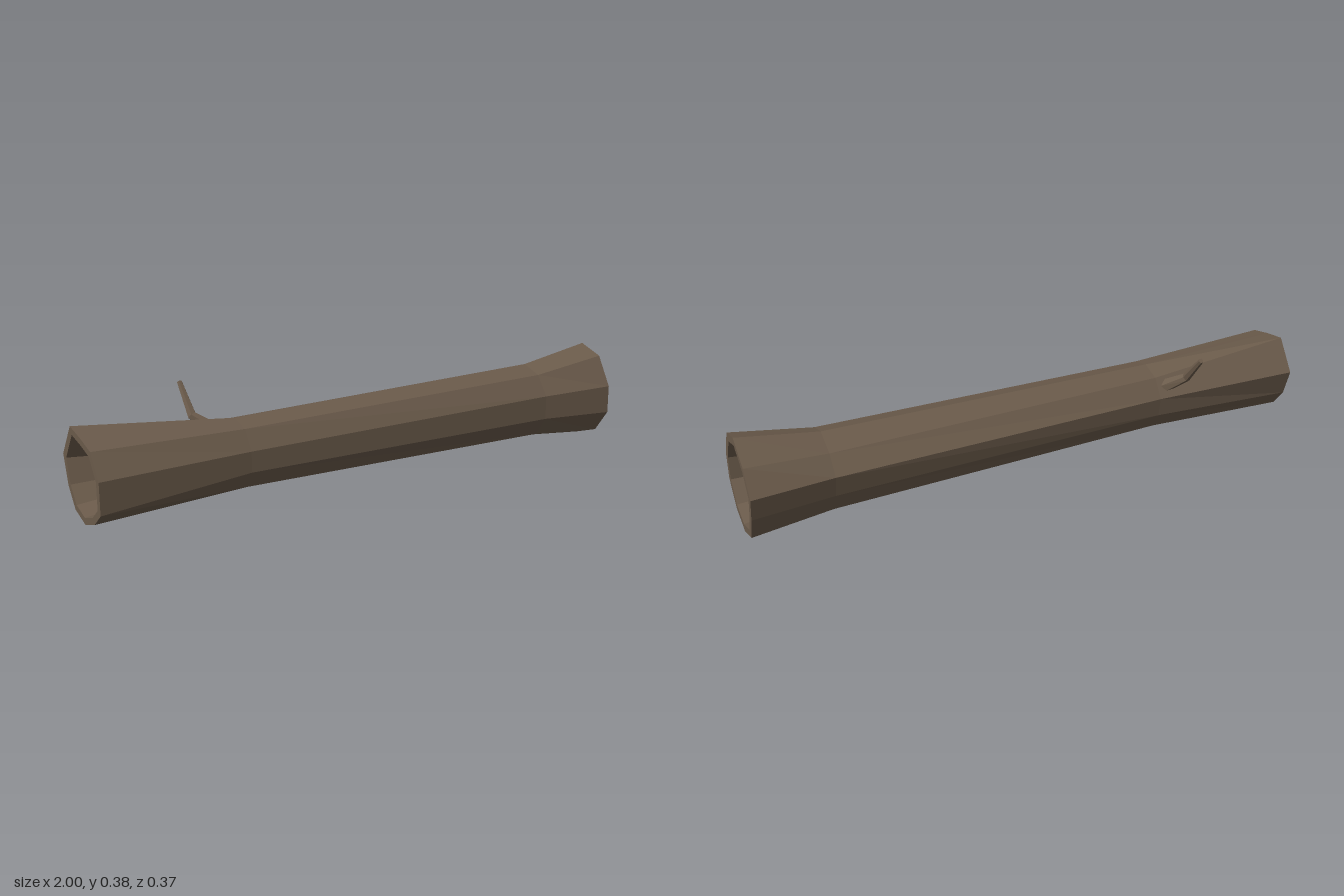
import * as THREE from 'three';

const bark = new THREE.MeshStandardMaterial({ color: 0x6b5b4b, flatShading: true });
const wood = new THREE.MeshStandardMaterial({ color: 0x987a5c, flatShading: true });

// Joins a row of rings (arrays of Vector3, counter-clockwise seen from the far end)
function loft(rings) {
  const pos = [];
  const put = (...pts) => pts.forEach(p => pos.push(p.x, p.y, p.z));
  for (let r = 0; r < rings.length - 1; r++) {
    const a = rings[r], b = rings[r + 1];
    for (let i = 0; i < a.length; i++) {
      const j = (i + 1) % a.length;
      put(a[i], a[j], b[j], a[i], b[j], b[i]);
    }
  }
  return geometryFrom(pos);
}

// Flat disc closing a ring; flip turns it to face the other way
function disc(ring, flip) {
  const pos = [];
  for (let i = 1; i < ring.length - 1; i++) {
    const tri = flip ? [ring[0], ring[i + 1], ring[i]] : [ring[0], ring[i], ring[i + 1]];
    tri.forEach(p => pos.push(p.x, p.y, p.z));
  }
  return geometryFrom(pos);
}

function geometryFrom(pos) {
  const g = new THREE.BufferGeometry();
  g.setAttribute('position', new THREE.Float32BufferAttribute(pos, 3));
  g.computeVertexNormals();
  return g;
}

function addMesh(group, name, geometry, material) {
  const mesh = new THREE.Mesh(geometry, material);
  mesh.name = name;
  group.add(mesh);
}

// Ten-sided section at x from [z, y] corners, starting at the top
const section = (x, corners) => corners.map(([z, y]) => new THREE.Vector3(x, y, z));

// Smaller copy of an end section, moved along the log
function inset(ring, scale, dx) {
  const c = new THREE.Vector3();
  ring.forEach(p => c.addScaledVector(p, 1 / ring.length));
  return ring.map(p => {
    const q = p.clone().sub(c).multiplyScalar(scale).add(c);
    q.x += dx;
    return q;
  });
}

// Round section facing along a direction
function roundSection(centre, direction, radius, sides) {
  const n = direction.clone().normalize();
  const u = new THREE.Vector3(1, 0, 0).addScaledVector(n, -n.x).normalize();
  const v = n.clone().cross(u);
  return Array.from({ length: sides }, (_, i) => {
    const t = (i / sides) * Math.PI * 2;
    return centre.clone().addScaledVector(u, Math.cos(t) * radius).addScaledVector(v, Math.sin(t) * radius);
  });
}

export function createModel() {
  const model = new THREE.Group();
  model.name = 'hollowLog';

  // Outer trunk, flared at both ends
  const leftEnd = section(-1, [[0.03, 0.302], [0.11, 0.28], [0.165, 0.2], [0.165, 0.095], [0.11, 0.05],
    [0.03, 0.025], [-0.05, 0.05], [-0.1, 0.115], [-0.129, 0.212], [-0.053, 0.319]]);
  const waist = section(-0.48, [[0.03, 0.285], [0.1, 0.265], [0.14, 0.2], [0.14, 0.13], [0.1, 0.07],
    [0.03, 0.05], [-0.04, 0.07], [-0.075, 0.13], [-0.085, 0.2], [-0.04, 0.264]]);
  const shoulder = section(0.72, [[0.032, 0.305], [0.11, 0.28], [0.16, 0.21], [0.16, 0.125], [0.11, 0.055],
    [0.032, 0.03], [-0.048, 0.055], [-0.082, 0.125], [-0.102, 0.205], [-0.05, 0.267]]);
  const rightEnd = section(1, [[0.033, 0.351], [0.128, 0.32], [0.188, 0.215], [0.188, 0.115], [0.128, 0.033],
    [0.033, 0], [-0.063, 0.033], [-0.1, 0.122], [-0.122, 0.207], [-0.066, 0.293]]);

  // Rims and recesses
  const leftRim = inset(leftEnd, 0.84, 0), leftFloor = inset(leftEnd, 0.76, 0.08);
  const rightRim = inset(rightEnd, 0.84, 0), rightFloor = inset(rightEnd, 0.74, -0.12);
  addMesh(model, 'trunk',
    loft([leftFloor, leftRim, leftEnd, waist, shoulder, rightEnd, rightRim, rightFloor]), bark);
  addMesh(model, 'leftWood', disc(leftFloor, true), wood);
  addMesh(model, 'rightWood', disc(rightFloor, false), wood);

  // Bent twig on the back of the log
  const path = [[-0.51, 0.225, -0.045], [-0.57, 0.275, -0.1], [-0.575, 0.373, -0.177]]
    .map(p => new THREE.Vector3(...p));
  const radii = [0.026, 0.016, 0.009];
  const twig = path.map((p, i) => {
    const direction = path[Math.min(i + 1, 2)].clone().sub(path[Math.max(i - 1, 0)]);
    return roundSection(p, direction, radii[i], 6);
  });
  addMesh(model, 'twig', loft(twig), bark);
  addMesh(model, 'twigTip', disc(twig[2], false), bark);

  return model;
}
